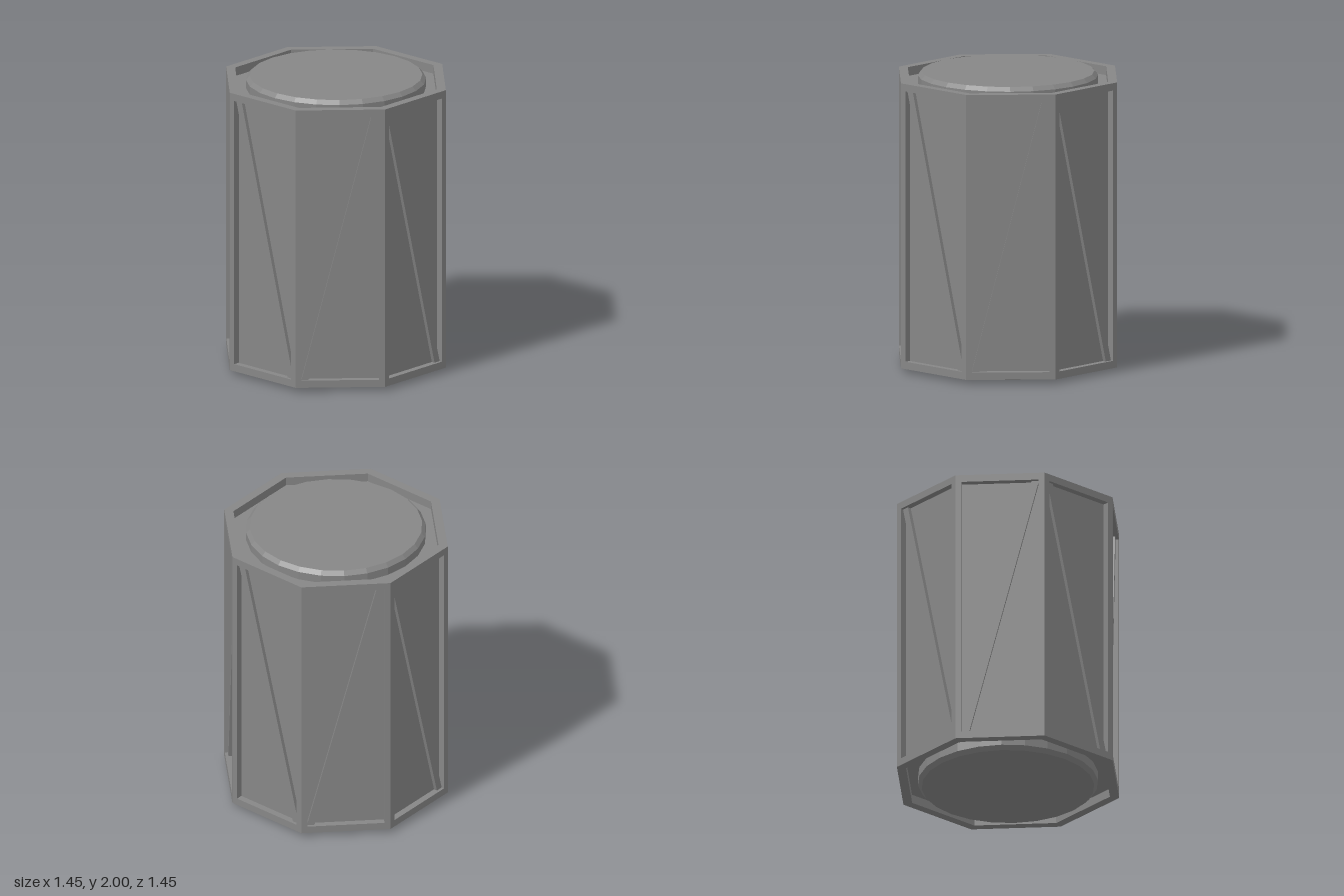
import * as THREE from 'three';

const BOTTOM = 0.03, TOP = 1.975;       // frame height range
const OUTER = 0.725, PANEL = 0.68, INNER = 0.665; // octagon apothems
const TAN = Math.tan(Math.PI / 8);

const grey = new THREE.MeshStandardMaterial({ color: 0x868686, flatShading: true });
grey.name = 'grey metal';

// Corners of a regular octagon with flat sides facing the axes
function octagon(apothem) {
  const r = apothem / Math.cos(Math.PI / 8);
  return Array.from({ length: 8 }, (_, i) => {
    const a = (i + 0.5) * Math.PI / 4;
    return new THREE.Vector2(r * Math.cos(a), r * Math.sin(a));
  });
}

function polygon(...pairs) {
  return pairs.map(([x, y]) => new THREE.Vector2(x, y));
}

function extrude(shape, depth) {
  return new THREE.ExtrudeGeometry(shape, { depth, bevelEnabled: false });
}

function addMesh(parent, name, geometry) {
  const mesh = new THREE.Mesh(geometry, grey);
  mesh.name = name;
  parent.add(mesh);
  return mesh;
}

export function createModel() {
  const group = new THREE.Group();
  group.name = 'octagonalContainer';

  // Octagonal shell behind the frames: its outside forms the recessed panels
  const shellShape = new THREE.Shape(octagon(PANEL));
  shellShape.holes.push(new THREE.Path(octagon(INNER)));
  const shellGeometry = extrude(shellShape, TOP - BOTTOM);
  shellGeometry.rotateX(-Math.PI / 2).translate(0, BOTTOM, 0);
  addMesh(group, 'panelShell', shellGeometry);

  // Recessed end plates inside the top and bottom rims
  for (const [name, y] of [['topPlate', 1.895], ['bottomPlate', 0.09]]) {
    const plate = extrude(new THREE.Shape(octagon(INNER + 0.005)), 0.02);
    plate.rotateX(-Math.PI / 2).translate(0, y, 0);
    addMesh(group, name, plate);
  }

  // Raised border and diagonal brace of each side
  const half = OUTER * TAN, open = 0.26, low = 0.08, high = 1.925;
  const frameShape = new THREE.Shape(polygon([-half, BOTTOM], [half, BOTTOM], [half, TOP], [-half, TOP]));
  frameShape.holes.push(new THREE.Path(polygon([-open, low], [-open, high], [open, high], [open, low])));
  const frameGeometry = extrude(frameShape, OUTER - PANEL).translate(0, 0, PANEL);

  for (let i = 0; i < 8; i++) {
    const side = new THREE.Group();
    side.name = 'side' + (i + 1);
    side.rotation.y = i * Math.PI / 4;
    addMesh(side, 'sideFrame', frameGeometry);

    // Braces alternate direction around the body
    const s = i % 2 ? -1 : 1;
    const brace = new THREE.Shape(polygon(
      [-open * s, low], [(-open + 0.05) * s, low], [open * s, high], [(open - 0.05) * s, high]));
    addMesh(side, 'diagonalBrace', extrude(brace, 0.025).translate(0, 0, PANEL));
    group.add(side);
  }

  // Round core whose chamfered ends stand proud of the rims
  const profile = polygon([0, 0], [0.58, 0], [0.605, 0.028], [0.605, 1.972], [0.58, 2], [0, 2]);
  addMesh(group, 'roundCore', new THREE.LatheGeometry(profile, 24));

  return group;
}
